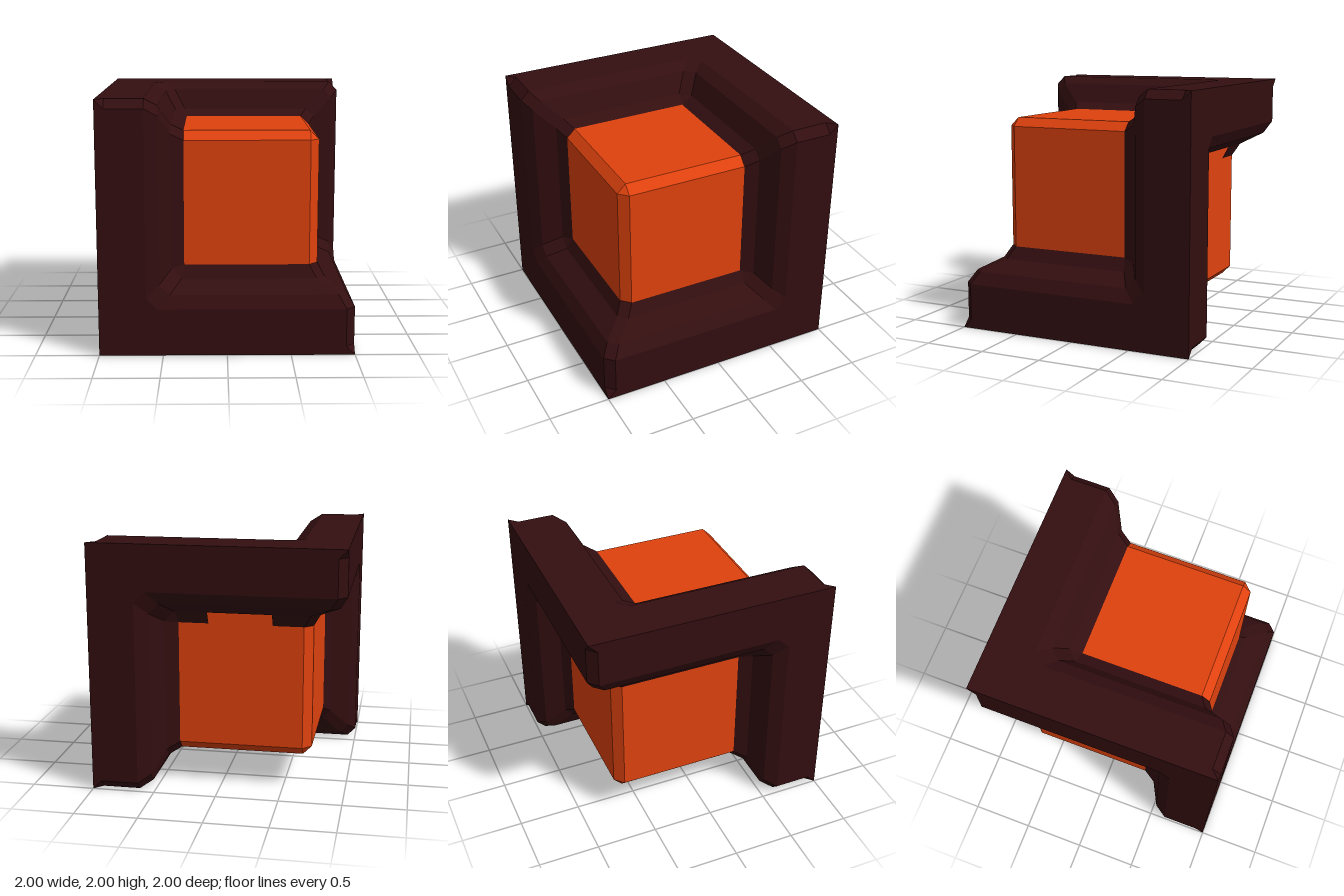
import * as THREE from 'three';
import { ConvexGeometry } from 'three/addons/geometries/ConvexGeometry.js';

const CORE = 0.725; // half size of the core block
const BEVEL = 0.07;

// Half profile of a frame bar: distance along its face, depth below the face,
// bevel at outer mitres, bevel at inner mitres.
const HALF = [
  [0.66, 1 - CORE, BEVEL, 0],
  [0.56, 0.22, BEVEL, 0.08],
  [0.47, 0.06, BEVEL, 0.08],
  [0.37, 0, BEVEL, 0.09],
  [0.07, 0, BEVEL, 0],
  [0, 0, 0, 0],
];
const LAST = 2 * (HALF.length - 1);

// Start and end points of every profile line of one bar
function barLines(e1, e2, t) {
  const lines = [];
  for (let j = 0; j <= LAST; j++) {
    const first = j < HALF.length;
    const [u, v, outer, inner] = HALF[first ? j : LAST - j];
    const a = first ? 1 - v : 1 - u;
    const b = first ? 1 - u : 1 - v;
    const innerEnd = 1 - u - inner;
    const outerEnd = 1 - v - outer;
    const at = (s) => new THREE.Vector3()
      .addScaledVector(e1, a).addScaledVector(e2, b).addScaledVector(t, s);
    lines.push({
      at,
      minus: at(first ? -outerEnd : -innerEnd),
      plus: at(first ? innerEnd : outerEnd),
    });
  }
  return lines;
}

// Closed loop of six mitred bars around the cube's edges
function frameGeometry() {
  const bars = [];
  let e1 = new THREE.Vector3(-1, 0, 0);
  let e2 = new THREE.Vector3(0, 0, 1);
  let t = new THREE.Vector3(0, 1, 0);
  for (let k = 0; k < 6; k++) {
    bars.push(barLines(e1, e2, t));
    [e1, e2, t] = [t, e1, e2.clone().negate()];
  }

  const positions = [];
  const triangle = (a, b, c) => {
    const area = b.clone().sub(a).cross(c.clone().sub(a)).length();
    if (area > 1e-7) [a, b, c].forEach((p) => positions.push(p.x, p.y, p.z));
  };
  bars.forEach((bar, k) => {
    const next = bars[(k + 1) % 6];
    const quad = (a, b, c, d) => {
      if (k % 2 === 0) [b, d] = [d, b];
      triangle(a, b, c);
      triangle(a, c, d);
    };
    for (let j = 0; j < LAST; j++) {
      const p = bar[j];
      const q = bar[j + 1];
      if (k === 2 && j === 0) {
        // Small notch under the rear top bar
        quad(p.minus, p.at(-0.41), q.at(-0.41), q.minus);
        quad(p.at(0.1), p.plus, q.plus, q.at(0.1));
      } else {
        quad(p.minus, p.plus, q.plus, q.minus);
      }
      // Bevelled mitre to the next bar (its profile runs the other way)
      const np = next[LAST - j].minus;
      const nq = next[LAST - j - 1].minus;
      quad(p.plus, np, nq, q.plus);
    }
  });

  const geometry = new THREE.BufferGeometry();
  geometry.setAttribute('position', new THREE.Float32BufferAttribute(positions, 3));
  geometry.computeVertexNormals();
  return geometry;
}

// Block with every edge and corner chamfered
function coreGeometry() {
  const points = [];
  const inset = CORE - BEVEL;
  for (const x of [-1, 1]) for (const y of [-1, 1]) for (const z of [-1, 1]) {
    points.push(
      new THREE.Vector3(x * CORE, y * inset, z * inset),
      new THREE.Vector3(x * inset, y * CORE, z * inset),
      new THREE.Vector3(x * inset, y * inset, z * CORE),
    );
  }
  return new ConvexGeometry(points);
}

export function createModel() {
  const frameMaterial = new THREE.MeshStandardMaterial({ color: 0x330e10, side: THREE.DoubleSide });
  frameMaterial.name = 'dark maroon';
  const coreMaterial = new THREE.MeshStandardMaterial({ color: 0xe0420e });
  coreMaterial.name = 'orange';

  const model = new THREE.Group();
  model.name = 'framedCube';
  const frame = new THREE.Mesh(frameGeometry(), frameMaterial);
  frame.name = 'frame';
  const core = new THREE.Mesh(coreGeometry(), coreMaterial);
  core.name = 'core';
  model.add(frame, core);
  model.children.forEach((part) => { part.position.y = 1; });
  return model;
}
